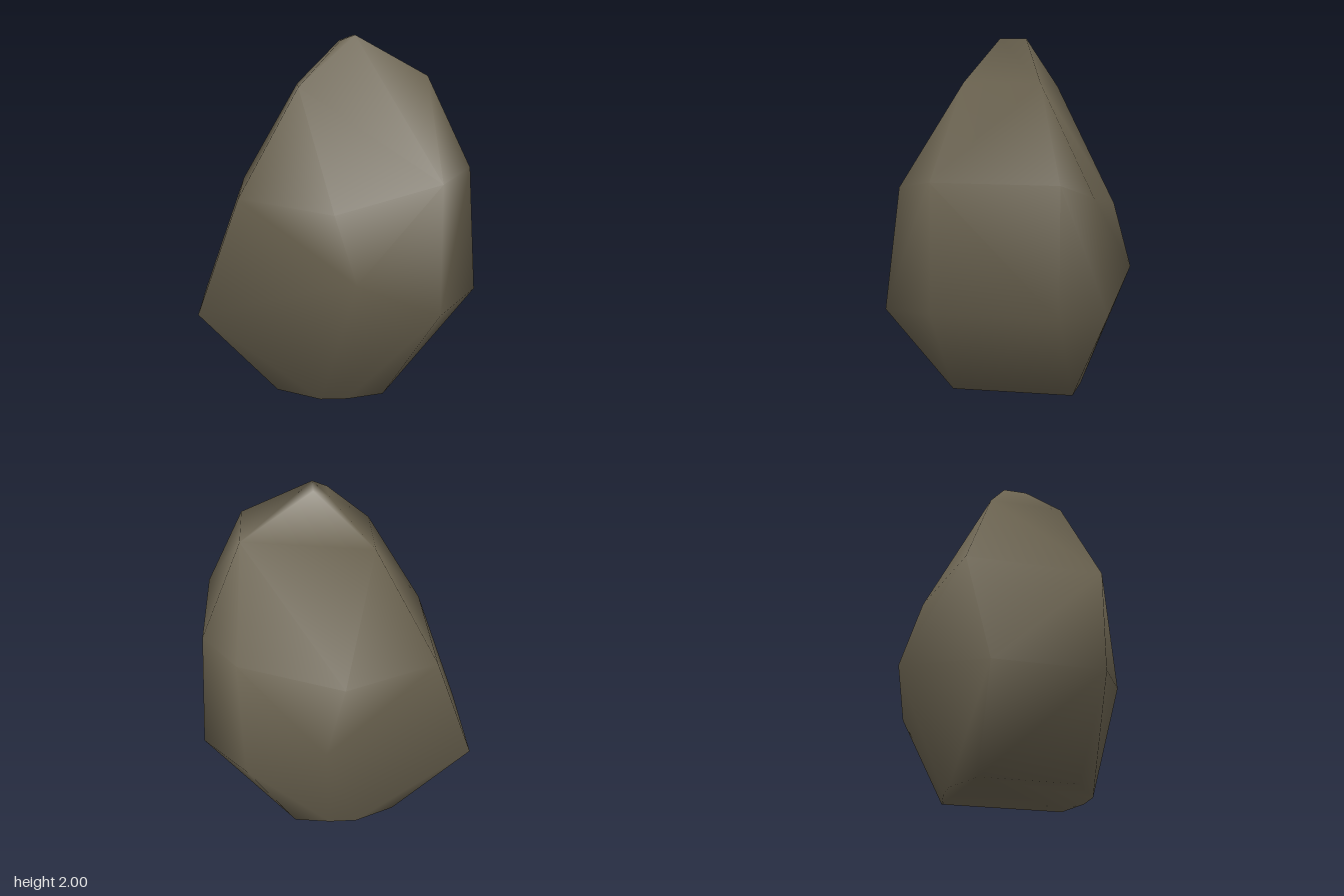
import * as THREE from 'three';
import { mergeVertices } from 'three/addons/utils/BufferGeometryUtils.js';
import { ConvexGeometry } from 'three/addons/geometries/ConvexGeometry.js';

// Each ring holds the boulder's corners at one level, as [x, y, z]
const rings = [
  // flat base
  [[-0.33, 0, -0.28], [-0.33, 0, 0.25], [-0.09, 0, 0.41], [0.06, 0, 0.41],
    [0.265, 0, 0.345], [0.265, 0, -0.35], [0.06, 0, -0.38], [-0.1, 0, -0.38]],
  // widest girdle
  [[-0.77, 0.455, -0.325], [-0.77, 0.455, 0.26], [0.09, 0.72, 0.655], [0.53, 0.55, 0.655],
    [0.77, 0.61, 0.345], [0.77, 0.61, -0.325], [0.53, 0.56, -0.555], [0.09, 0.73, -0.655]],
  // shoulder
  [[-0.53, 1.13, -0.41], [-0.53, 1.13, 0.35], [-0.02, 1.07, 0.55], [0.55, 1.23, 0.555],
    [0.73, 1.29, 0.345], [0.73, 1.29, -0.32], [0.55, 1.2, -0.475], [-0.02, 1.07, -0.55]],
  // upper slope
  [[-0.2, 1.72, -0.2], [-0.2, 1.72, 0.23], [0.51, 1.78, 0.21], [0.51, 1.78, -0.19]],
  // narrow crest
  [[0.04, 1.97, -0.06], [0.04, 1.97, 0.08], [0.12, 2, 0.085], [0.12, 2, -0.06]],
];

// Wrap the corners in one smooth-shaded skin
function boulderGeometry() {
  const hull = new ConvexGeometry(rings.flat().map((p) => new THREE.Vector3(...p)));
  hull.deleteAttribute('normal');
  const geometry = mergeVertices(hull, 1e-4);
  geometry.computeVertexNormals();
  return geometry;
}

export function createModel() {
  const stone = new THREE.MeshStandardMaterial({ color: 0x6b6350 });
  stone.name = 'stone';
  const boulder = new THREE.Mesh(boulderGeometry(), stone);
  boulder.name = 'boulder';
  const group = new THREE.Group();
  group.name = 'rock';
  group.add(boulder);
  return group;
}
